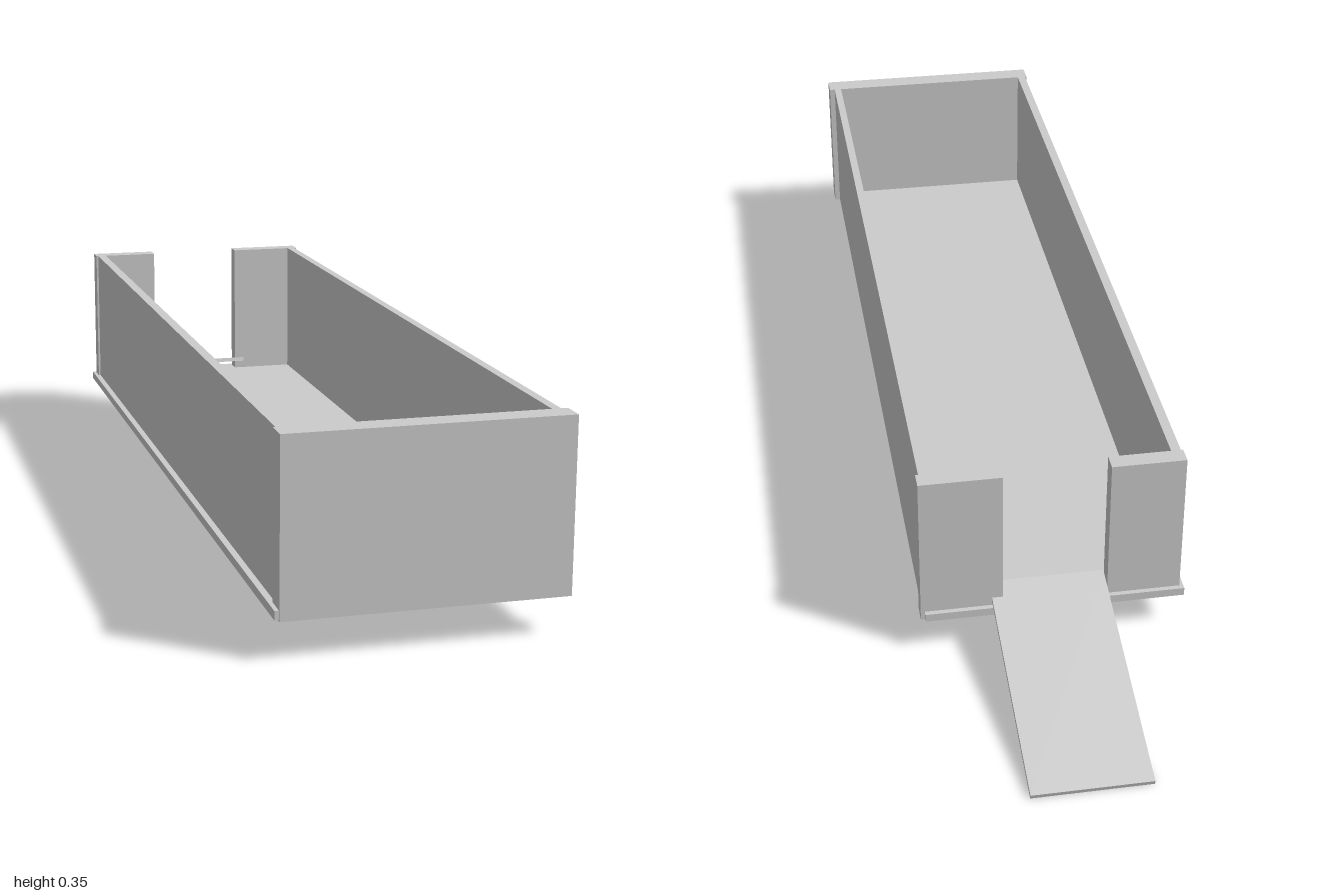
import * as THREE from 'three';

const material = new THREE.MeshStandardMaterial({ color: 0xcccccc, flatShading: true });

// Box given by its minimum and maximum along each axis
function addPanel(group, name, [x0, x1], [y0, y1], [z0, z1]) {
  const mesh = new THREE.Mesh(new THREE.BoxGeometry(x1 - x0, y1 - y0, z1 - z0), material);
  mesh.position.set((x0 + x1) / 2, (y0 + y1) / 2, (z0 + z1) / 2);
  mesh.name = name;
  group.add(mesh);
}

export function createModel() {
  const model = new THREE.Group();
  model.name = 'openTrayWithRamp';
  const wallY = [0.065, 0.353];

  // Floor board, slightly offset so it leaves a ledge on the right and back
  addPanel(model, 'floor', [-0.237, 0.222], [0.067, 0.082], [-0.622, 0.996]);

  // Long side walls
  addPanel(model, 'rightWall', [-0.226, -0.209], wallY, [-0.611, 0.965]);
  addPanel(model, 'leftWall', [0.209, 0.224], wallY, [-0.6, 0.965]);

  // End wall and the two short walls beside the rear opening
  addPanel(model, 'frontWall', [-0.23, 0.235], wallY, [0.958, 1]);
  addPanel(model, 'backRightWall', [-0.23, -0.1], wallY, [-0.613, -0.582]);
  addPanel(model, 'backLeftWall', [0.085, 0.229], wallY, [-0.613, -0.582]);

  // Thin ramp sloping from the opening down to the ground
  const ramp = new THREE.Shape([
    [-0.578, 0.106], [-1, 0.008], [-0.998, 0], [-0.576, 0.098],
  ].map(([z, y]) => new THREE.Vector2(-z, y)));
  const rampGeometry = new THREE.ExtrudeGeometry(ramp, { depth: 0.204, bevelEnabled: false });
  rampGeometry.rotateY(Math.PI / 2); // profile runs along -z, width along +x
  rampGeometry.translate(-0.1, 0, 0);
  const rampMesh = new THREE.Mesh(rampGeometry, material);
  rampMesh.name = 'ramp';
  model.add(rampMesh);

  return model;
}
